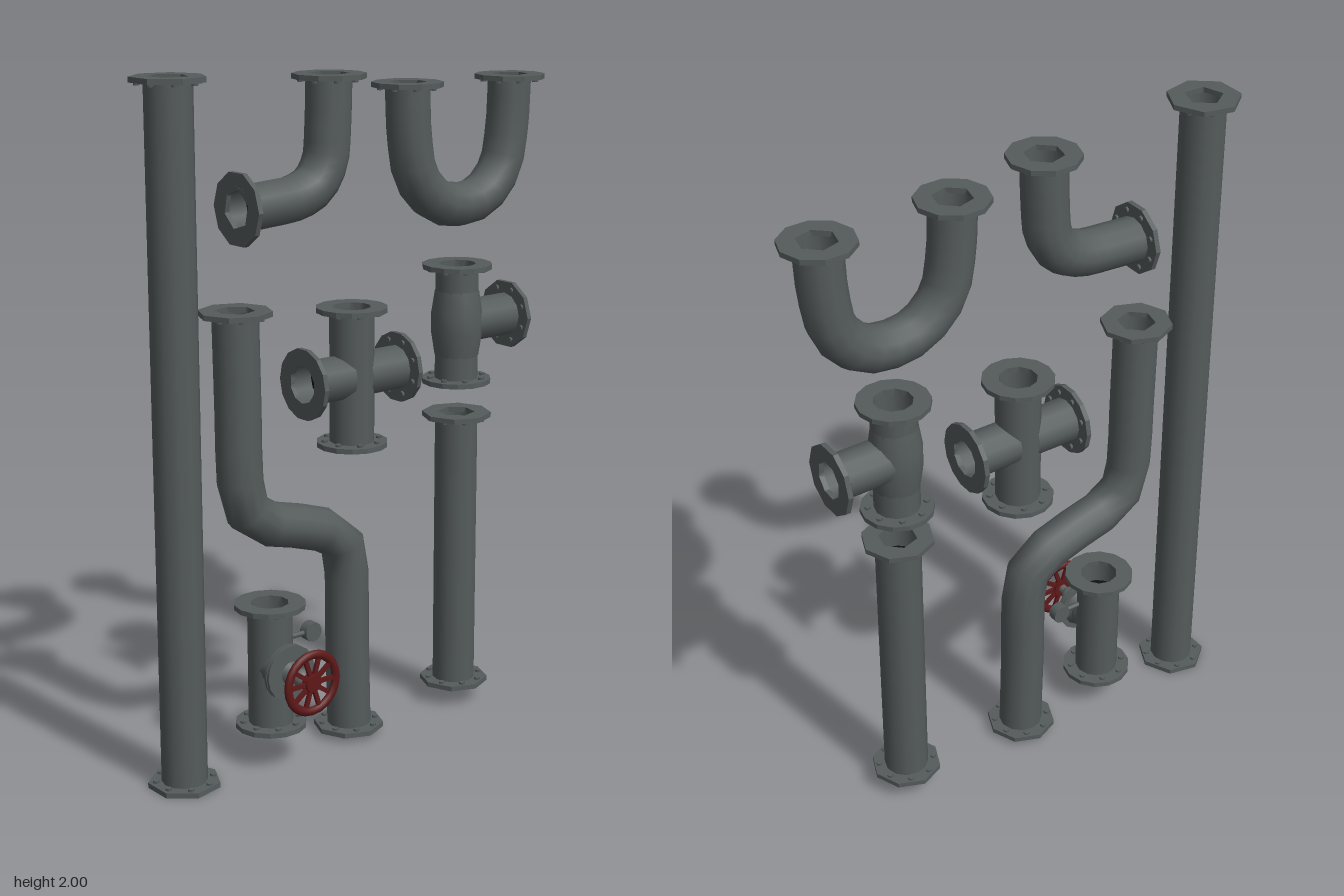
import * as THREE from 'three';
import { mergeGeometries } from 'three/addons/utils/BufferGeometryUtils.js';

function paint(name, color) {
  const material = new THREE.MeshStandardMaterial({ color });
  material.name = name;
  return material;
}
const iron = paint('dark iron', 0x555b5b);
const steel = paint('stem steel', 0x626765);
const red = paint('wheel red', 0x5e1818);
const black = paint('bore black', 0x101212);

const Z = -0.052;      // depth of the pipe axes
const R = 0.066;       // pipe radius
const BORE = 0.056;    // inner radius
const FLANGE = 0.105;  // flange radius
const THICK = 0.015;   // flange thickness

function add(parent, name, geometry, material = iron) {
  const mesh = new THREE.Mesh(geometry, material);
  mesh.name = name;
  parent.add(mesh);
  return mesh;
}

// Hollow pipe along a path of [x, y] points
function pipe(parent, name, points, segments = 1) {
  const v = points.map(([x, y]) => new THREE.Vector3(x, y, Z));
  const curve = v.length === 2 ? new THREE.LineCurve3(v[0], v[1])
    : new THREE.CatmullRomCurve3(v, false, 'centripetal');
  add(parent, name, new THREE.TubeGeometry(curve, segments, R, 12));
  const inner = new THREE.TubeGeometry(curve, segments, BORE, 12);
  inner.index.array.reverse();
  const n = inner.attributes.normal;
  for (let i = 0; i < n.array.length; i++) n.array[i] *= -1;
  add(parent, name + 'Bore', inner);
}

function polygon(Type, radius, sides, turn) {
  const pts = [];
  for (let i = 0; i < sides; i++) {
    const a = turn + (i / sides) * Math.PI * 2;
    pts.push(new THREE.Vector2(Math.cos(a) * radius, Math.sin(a) * radius));
  }
  return new Type(pts);
}

// Bolted flange whose outer face lies at (x, y) and looks along (dx, dy)
function flange(parent, x, y, dx, dy, sides = 10, holeSides = 8) {
  const group = new THREE.Group();
  group.name = 'flange';
  const shape = polygon(THREE.Shape, FLANGE, sides, 0);
  shape.holes.push(polygon(THREE.Path, BORE, holeSides, 0.3));
  const ring = new THREE.ExtrudeGeometry(shape, { depth: THICK, bevelEnabled: false });
  add(group, 'flangeRing', ring.translate(0, 0, -THICK));
  const bolts = [];
  for (let i = 0; i < 8; i++) {
    const a = ((i + 0.5) / 8) * Math.PI * 2;
    bolts.push(new THREE.CylinderGeometry(0.009, 0.009, 0.01, 6)
      .rotateX(Math.PI / 2)
      .translate(Math.cos(a) * 0.083, Math.sin(a) * 0.083, -THICK - 0.002));
  }
  add(group, 'flangeBolts', mergeGeometries(bolts));
  // Dark depth of the pipe, set well back from the mouth
  add(group, 'boreEnd', new THREE.CircleGeometry(BORE + 0.004, 12).translate(0, 0, -0.075), black);
  group.position.set(x, y, Z);
  group.quaternion.setFromUnitVectors(new THREE.Vector3(0, 0, 1), new THREE.Vector3(dx, dy, 0));
  parent.add(group);
}

// Straight vertical pipe with a flange at both ends
function straight(parent, name, x, y0, y1, sides, holeSides) {
  const g = new THREE.Group();
  g.name = name;
  pipe(g, name + 'Tube', [[x, y0 + 0.004], [x, y1 - 0.004]]);
  flange(g, x, y1, 0, 1, sides, holeSides);
  flange(g, x, y0, 0, -1, sides, holeSides);
  parent.add(g);
  return g;
}

// Bent pipe; ends are [x, y, dx, dy]
function bent(parent, name, points, ends, sides) {
  const g = new THREE.Group();
  g.name = name;
  pipe(g, name + 'Tube', points, 16);
  for (const e of ends) flange(g, ...e, sides, 6);
  parent.add(g);
}

// Turned section along z at (x, y), from z0 to z1
function turned(parent, name, x, y, r0, r1, z0, z1, sides = 16, material = iron) {
  const geo = new THREE.CylinderGeometry(r1, r0, z1 - z0, sides).rotateX(Math.PI / 2);
  add(parent, name, geo.translate(x, y, (z0 + z1) / 2), material);
}

function valve(parent) {
  const x = -0.306, y = 0.29;
  const g = straight(parent, 'valve', x, 0.098, 0.478, 14, 10);

  // Bonnet
  turned(g, 'bonnetNeck', x, y, 0.062, 0.055, Z, 0.015);
  turned(g, 'bonnetFlare', x, y, 0.055, 0.068, 0.01, 0.03);
  turned(g, 'bonnetLowerPlate', x, y, 0.083, 0.083, 0.028, 0.037);
  turned(g, 'bonnetUpperPlate', x, y, 0.083, 0.083, 0.04, 0.049);
  turned(g, 'bonnetGasket', x, y, 0.07, 0.07, 0.035, 0.042);
  turned(g, 'bonnetCap', x, y, 0.035, 0.022, 0.049, 0.065);

  // Stem
  turned(g, 'stem', x, y, 0.014, 0.014, 0.06, 0.14, 10, steel);
  const nut = new THREE.SphereGeometry(0.027, 10, 8);
  add(g, 'stemGland', nut.translate(x, y, 0.094), steel);

  // Side gauge with a flat round face
  const arm = new THREE.CylinderGeometry(0.008, 0.008, 0.1, 8).rotateZ(Math.PI / 2);
  add(g, 'gaugeArm', arm.translate(-0.22, 0.364, -0.03));
  turned(g, 'gaugeDial', -0.174, 0.364, 0.029, 0.029, -0.045, -0.015, 14);

  // Handwheel
  const wheel = new THREE.Group();
  wheel.name = 'handwheel';
  wheel.position.set(x, y, 0.145);
  const rim = new THREE.TorusGeometry(0.085, 0.0135, 8, 24).scale(1, 1, 0.75);
  add(wheel, 'wheelRim', rim, red);
  turned(wheel, 'wheelHub', 0, 0, 0.03, 0.026, -0.01, 0.01, 12, red);
  const spokes = [];
  for (let i = 0; i < 10; i++) {
    spokes.push(new THREE.BoxGeometry(0.064, 0.013, 0.009)
      .translate(0.052, 0, 0).rotateZ((i / 10) * Math.PI * 2));
  }
  add(wheel, 'wheelSpokes', mergeGeometries(spokes), red);
  g.add(wheel);
}

export function createModel() {
  const model = new THREE.Group();
  model.name = 'pipeSet';

  straight(model, 'longPipe', -0.615, 0, 2, 7, 5);
  straight(model, 'shortPipe', 0.411, 0.055, 0.928, 8, 6);

  bent(model, 'elbow',
    [[-0.4, 1.626], [-0.3, 1.632], [-0.2, 1.642], [-0.135, 1.672], [-0.095, 1.735],
      [-0.085, 1.82], [-0.079, 1.972]],
    [[-0.403, 1.628, -1, 0], [-0.079, 1.977, 0, 1]], 10);

  bent(model, 'uBend',
    [[0.208, 1.93], [0.216, 1.78], [0.243, 1.66], [0.32, 1.583], [0.41, 1.563],
      [0.5, 1.583], [0.574, 1.66], [0.601, 1.78], [0.609, 1.93]],
    [[0.208, 1.936, 0, 1], [0.609, 1.936, 0, 1]], 10);

  bent(model, 'offsetPipe',
    [[-0.412, 1.345], [-0.408, 1.1], [-0.402, 0.84], [-0.385, 0.775], [-0.335, 0.727],
      [-0.22, 0.693], [-0.105, 0.655], [-0.045, 0.615], [-0.024, 0.545], [-0.019, 0.3],
      [-0.012, 0.02]],
    [[-0.412, 1.35, 0, 1], [-0.014, 0.016, 0, -1]], 8);

  // Four-way cross
  const cross = straight(model, 'cross', 0.001, 0.894, 1.308, 14, 10);
  for (const s of [-1, 1]) {
    pipe(cross, 'crossBranch', [[s * 0.03, 1.104], [s * 0.178, 1.104]]);
    flange(cross, 0.001 + s * 0.182, 1.104, s, 0, 14, 10);
  }

  // Tee with a slightly swollen body
  const tee = straight(model, 'tee', 0.408, 1.022, 1.386, 14, 10);
  const body = [[R, -0.1], [0.077, -0.03], [0.077, 0.03], [R, 0.1]]
    .map(([r, h]) => new THREE.Vector2(r, h));
  add(tee, 'teeBody', new THREE.LatheGeometry(body, 16).translate(0.408, 1.206, Z));
  pipe(tee, 'teeBranch', [[0.44, 1.206], [0.614, 1.206]]);
  flange(tee, 0.618, 1.206, 1, 0, 10, 8);

  valve(model);
  return model;
}
